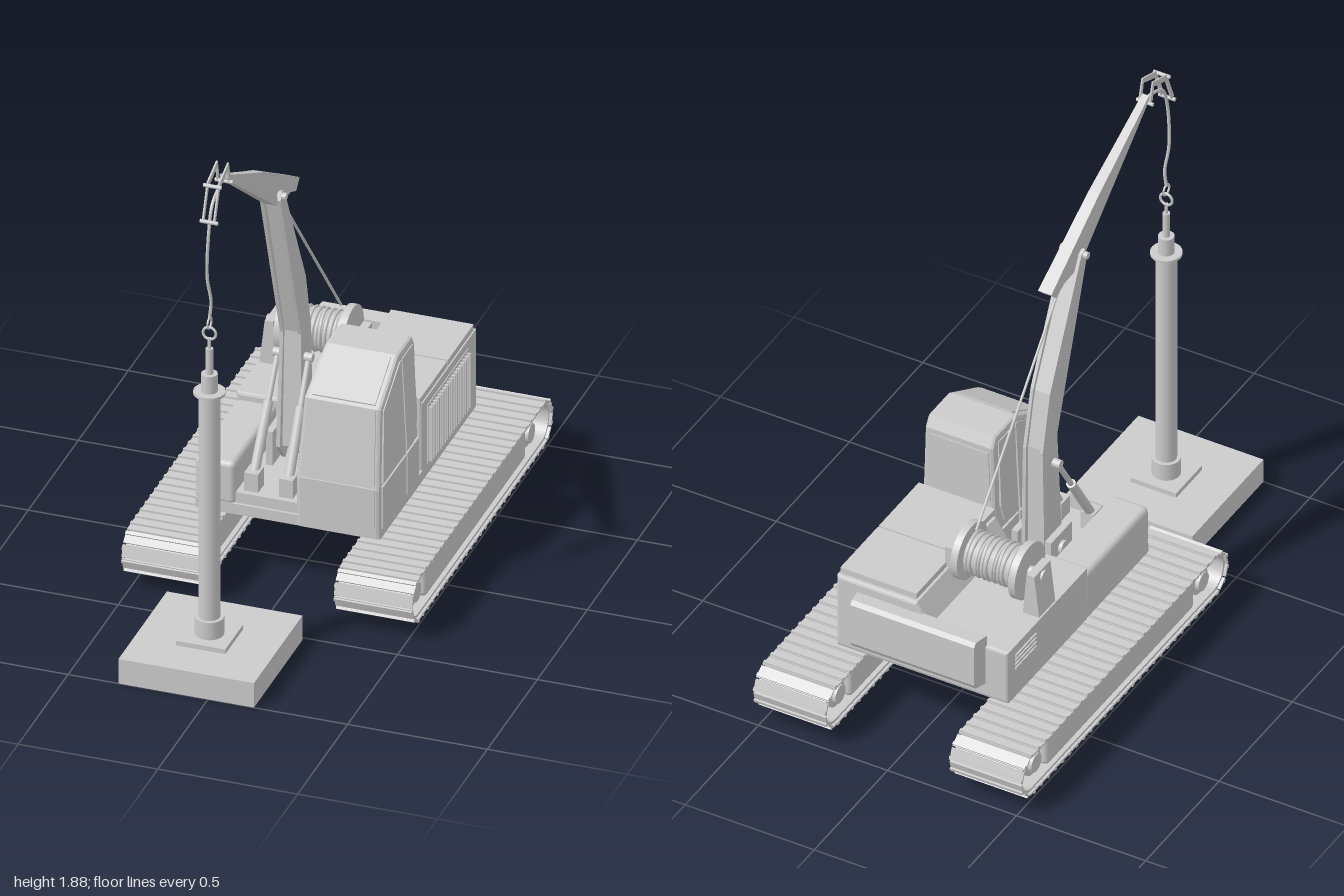
import * as THREE from 'three';
import { mergeGeometries } from 'three/addons/utils/BufferGeometryUtils.js';
import { RoundedBoxGeometry } from 'three/addons/geometries/RoundedBoxGeometry.js';

const grey = new THREE.MeshStandardMaterial({ color: 0xcccccc, side: THREE.DoubleSide });
const V = (x, y, z) => new THREE.Vector3(x, y, z);
const BX = -0.08; // x of the boom and mast line

function add(parent, name, geometry) {
  const m = new THREE.Mesh(geometry, grey);
  m.name = name;
  parent.add(m);
  return m;
}
function group(parent, name) {
  const g = new THREE.Group();
  g.name = name;
  parent.add(g);
  return g;
}
// box given by its limits
function box(x0, x1, y0, y1, z0, z1) {
  return new THREE.BoxGeometry(x1 - x0, y1 - y0, z1 - z0)
    .translate((x0 + x1) / 2, (y0 + y1) / 2, (z0 + z1) / 2);
}
function rounded(x0, x1, y0, y1, z0, z1, r) {
  return new RoundedBoxGeometry(x1 - x0, y1 - y0, z1 - z0, 2, r)
    .translate((x0 + x1) / 2, (y0 + y1) / 2, (z0 + z1) / 2);
}
function extrude(shape, depth, bevel = 0) {
  if (bevel === 0) return new THREE.ExtrudeGeometry(shape, { depth, bevelEnabled: false, curveSegments: 12 });
  return new THREE.ExtrudeGeometry(shape, {
    depth: depth - 2 * bevel, bevelThickness: bevel, bevelSize: bevel, bevelOffset: -bevel, bevelSegments: 2,
  }).translate(0, 0, bevel);
}
const toShape = (pts) => new THREE.Shape(pts.map((p) => new THREE.Vector2(p[0], p[1])));
// profile in (z, y), extruded from x0 to x1
function side(profile, x0, x1, bevel = 0) {
  const s = Array.isArray(profile) ? toShape(profile) : profile;
  return extrude(s, x1 - x0, bevel).rotateY(-Math.PI / 2).translate(x1, 0, 0);
}
// scale x about cx by a rule of the point
function taper(geo, cx, rule) {
  const p = geo.attributes.position;
  for (let i = 0; i < p.count; i++) p.setX(i, cx + (p.getX(i) - cx) * rule(p.getY(i), p.getZ(i)));
  geo.computeVertexNormals();
  return geo;
}
function rod(a, b, r, r2 = r, sides = 16) {
  const d = b.clone().sub(a);
  const q = new THREE.Quaternion().setFromUnitVectors(V(0, 1, 0), d.clone().normalize());
  const mid = a.clone().add(b).multiplyScalar(0.5);
  return new THREE.CylinderGeometry(r2, r, d.length(), sides).applyQuaternion(q).translate(mid.x, mid.y, mid.z);
}
const axle = (x0, x1, y, z, r, sides = 24) => rod(V(x0, y, z), V(x1, y, z), r, r, sides);

// stadium outline in (z, y)
function stadium(Curve, za, zb, y, r) {
  const s = new Curve();
  s.moveTo(zb, y - r);
  s.lineTo(za, y - r);
  s.absarc(za, y, r, -Math.PI / 2, Math.PI / 2, false);
  s.lineTo(zb, y + r);
  s.absarc(zb, y, r, Math.PI / 2, Math.PI * 1.5, false);
  return s;
}

function buildTrack(parent, sgn) {
  const g = group(parent, sgn > 0 ? 'leftTrack' : 'rightTrack');
  const za = 0.325, zb = -0.915, yc = 0.132, r = 0.078, cx = 0.38 * sgn, w = 0.14;
  const belt = stadium(THREE.Shape, za, zb, yc, r);
  belt.holes.push(stadium(THREE.Path, za, zb, yc, r - 0.012));
  add(g, 'belt', side(belt, cx - w + 0.01, cx + w - 0.01));
  // shoes with a grouser bar, laid around the loop
  const L = za - zb, P = 2 * L + 2 * Math.PI * r, n = 62, shoes = [];
  for (let i = 0; i < n; i++) {
    let s = (i / n) * P, z, y, a;
    if (s < L) { z = zb + s; y = yc + r; a = 0; }
    else if (s < L + Math.PI * r) { a = (s - L) / r; z = za + r * Math.sin(a); y = yc + r * Math.cos(a); }
    else if (s < 2 * L + Math.PI * r) { z = za - (s - L - Math.PI * r); y = yc - r; a = Math.PI; }
    else { a = Math.PI + (s - 2 * L - Math.PI * r) / r; z = zb + r * Math.sin(a); y = yc + r * Math.cos(a); }
    for (const b of [box(-w, w, -0.003, 0.004, -0.022, 0.022), box(-w, w, 0, 0.011, -0.019, -0.007)]) {
      shoes.push(b.rotateX(a).translate(cx, y, z));
    }
  }
  add(g, 'shoes', mergeGeometries(shoes));
  add(g, 'sideFrame', rounded(cx - w + 0.02, cx + w - 0.02, 0.065, 0.197, -0.79, 0.215, 0.018));
  add(g, 'frameBeam', box(cx - 0.04, cx + 0.04, 0.1, 0.165, -0.9, 0.32));
  for (const z of [0.285, -0.855]) {
    add(g, 'wheel', axle(cx - 0.1, cx + 0.1, yc - 0.007, z, 0.052, 28));
    add(g, 'wheelHub', axle(cx - 0.115, cx + 0.115, yc - 0.007, z, 0.035));
  }
}

function buildHouse(parent) {
  const g = group(parent, 'upperHouse');
  add(g, 'deckPlate', box(-0.33, 0.33, 0.25, 0.29, -0.76, 0.2));
  const section = [[-0.335, 0.255], [0.33, 0.255], [0.33, 0.55], [0.02, 0.55], [-0.03, 0.47], [-0.335, 0.47]];
  add(g, 'engineHouse', extrude(toShape(section), 0.55, 0.01).translate(0, 0, -0.77));
  for (const z of [[-0.75, -0.493], [-0.487, -0.215]]) add(g, 'hatch', box(0.03, 0.325, 0.54, 0.573, z[0], z[1]));
  add(g, 'sideDeck', rounded(-0.335, -0.19, 0.28, 0.445, -0.23, 0.2, 0.02));
  add(g, 'channelFloor', box(-0.19, 0.04, 0.28, 0.33, -0.23, 0.19));
  // counterweight, a little tapered towards the back
  const cw = side([[-0.76, 0.31], [-0.76, 0.51], [-0.82, 0.515], [-0.832, 0.5], [-0.832, 0.34], [-0.82, 0.32]], -0.25, 0.25);
  add(g, 'counterweight', taper(cw, 0, (y, z) => (z < -0.8 ? 0.96 : 1)));
  // slatted grille
  const slats = [box(0.325, 0.333, 0.29, 0.52, -0.68, -0.27)];
  for (let i = 0; i < 18; i++) slats.push(box(0.33, 0.347, 0.3, 0.51, -0.667 + i * 0.0225, -0.658 + i * 0.0225));
  for (const y of [0.325, 0.48]) slats.push(box(0.33, 0.342, y, y + 0.008, -0.67, -0.28));
  add(g, 'grille', mergeGeometries(slats));
  for (let i = 0; i < 4; i++) add(g, 'vent', box(-0.341, -0.33, 0.37 + i * 0.018, 0.38 + i * 0.018, -0.72, -0.58));
}

function buildCab(parent) {
  const g = group(parent, 'cab');
  const narrow = (geo) => taper(geo, 0.183, (y) => 1 - 0.12 * Math.max(0, (y - 0.46) / 0.38));
  const outline = [[0.21, 0.255], [0.21, 0.44], [0.163, 0.73], [-0.03, 0.84], [-0.17, 0.84], [-0.19, 0.8], [-0.19, 0.255]];
  add(g, 'shell', narrow(side(outline, 0.033, 0.333, 0.013)));
  // side panes and door panels
  const panes = [
    [[0.185, 0.46], [0.145, 0.72], [-0.03, 0.815], [-0.043, 0.815], [-0.043, 0.46]],
    [[-0.053, 0.46], [-0.053, 0.815], [-0.16, 0.815], [-0.165, 0.55], [-0.145, 0.48], [-0.11, 0.46]],
    [[0.19, 0.29], [0.19, 0.45], [-0.043, 0.45], [-0.043, 0.29]],
    [[-0.053, 0.29], [-0.053, 0.45], [-0.17, 0.45], [-0.17, 0.29]],
  ];
  for (const p of panes) for (const x of [0.029, 0.329]) add(g, 'sidePanel', narrow(side(p, x, x + 0.008)));
  // panes on the front, roof slope and back
  const strip = (a, b) => [a, b, [b[0] + 0.005, b[1] + 0.002], [a[0] + 0.005, a[1] + 0.002]];
  add(g, 'frontLowerPanel', box(0.05, 0.316, 0.295, 0.448, 0.2, 0.215));
  add(g, 'windscreen', narrow(side(strip([0.207, 0.46], [0.164, 0.725]), 0.053, 0.313)));
  add(g, 'roofPane', narrow(side([[0.15, 0.735], [-0.02, 0.832], [-0.018, 0.839], [0.152, 0.742]], 0.06, 0.306)));
  add(g, 'rearPane', narrow(box(0.055, 0.31, 0.58, 0.78, -0.194, -0.18)));
}

function buildWinch(parent) {
  const g = group(parent, 'winch');
  const y = 0.608, z = -0.49;
  add(g, 'axle', axle(-0.32, 0.04, y, z, 0.02));
  add(g, 'drum', axle(-0.24, -0.04, y, z, 0.065));
  for (const x of [-0.262, -0.038]) add(g, 'flange', axle(x, x + 0.026, y, z, 0.105, 32));
  const coils = [];
  for (let i = 0; i < 18; i++) {
    coils.push(new THREE.TorusGeometry(0.068 + 0.005 * (i % 2), 0.007, 6, 24)
      .rotateY(Math.PI / 2 + 0.05 * ((i % 3) - 1)).translate(-0.228 + i * 0.0105, y, z));
  }
  add(g, 'ropeCoils', mergeGeometries(coils));
  const bracket = [[-0.33, 0.46], [-0.265, 0.46], [-0.28, 0.635], [-0.31, 0.635]];
  add(g, 'outerBracket', extrude(toShape(bracket), 0.11).translate(0, 0, z - 0.055));
  add(g, 'innerBracket', box(0.005, 0.035, 0.46, 0.635, z - 0.055, z + 0.055));
}

function buildBoom(parent) {
  const g = group(parent, 'boom');
  const lower = [[0.155, 1.47], [0.14, 1.5], [0.115, 1.49], [-0.1, 1.04], [-0.15, 0.82], [-0.15, 0.4], [-0.09, 0.33], [-0.03, 0.4], [-0.05, 0.84]];
  const core = [[0.12, 1.44], [0.11, 1.44], [-0.09, 1.03], [-0.135, 0.82], [-0.135, 0.4], [-0.045, 0.4], [-0.065, 0.84]];
  for (const s of [-1, 1]) {
    const x = BX + s * 0.032;
    add(g, 'boomPlate', taper(side(lower, x - 0.006, x + 0.006), BX, (y) => (y < 0.84 ? 1 + 0.4 * (0.84 - y) : 1)));
    // lifting ram with its lug
    const a = V(BX + s * 0.062, 0.38, 0.14), b = V(BX + s * 0.055, 0.74, -0.08), m = a.clone().lerp(b, 0.6);
    add(g, 'ramBarrel', rod(a, m, 0.017));
    add(g, 'ramRod', rod(m, b, 0.01));
    add(g, 'ramLug', box(a.x - 0.025, a.x + 0.025, 0.32, 0.4, 0.11, 0.17));
    add(g, 'footLug', box(BX + s * 0.065 - 0.012, BX + s * 0.065 + 0.012, 0.32, 0.46, -0.16, -0.02));
  }
  add(g, 'boomCore', side(core, BX - 0.027, BX + 0.027));
  add(g, 'footPin', axle(BX - 0.09, BX + 0.09, 0.4, -0.09, 0.025));
  add(g, 'ramPin', axle(BX - 0.07, BX + 0.07, 0.74, -0.08, 0.016));
  add(g, 'elbowPin', axle(BX - 0.053, BX + 0.053, 1.48, 0.135, 0.013));
  // jib, narrower towards its tip
  const jib = [[0.62, 1.8], [0.62, 1.82], [0.385, 1.7], [0.265, 1.64], [-0.07, 1.44], [-0.035, 1.405], [0.02, 1.43], [0.1, 1.43], [0.155, 1.45]];
  add(g, 'jib', taper(side(jib, BX - 0.026, BX + 0.026), BX, (y, z) => 1 - 0.5 * Math.max(0, z / 0.62)));
  // guide head: a bent strip on each side with cross pins
  const head = [[0.615, 1.8], [0.64, 1.872], [0.625, 1.877], [0.73, 1.84], [0.765, 1.72]];
  const strip = [[0.61, 1.8], [0.63, 1.875], [0.725, 1.842], [0.773, 1.722], [0.758, 1.716], [0.718, 1.82], [0.637, 1.852], [0.627, 1.8]];
  for (const s of [-1, 1]) add(g, 'headPlate', side(strip, BX + s * 0.02 - 0.003, BX + s * 0.02 + 0.003));
  for (const i of [0, 3, 4]) add(g, 'headPin', axle(BX - 0.032, BX + 0.032, head[i][1] - 0.008, head[i][0], 0.007, 12));
}

function buildMast(parent) {
  const g = group(parent, 'mast');
  const z = 0.76, up = (y0, y1, r) => rod(V(BX, y0, z), V(BX, y1, z), r, r, 32);
  // base tray, open underneath
  const x0 = -0.32, x1 = 0.165, z0 = 0.515, z1 = 1, t = 0.012, h = 0.095;
  add(g, 'basePlate', box(x0, x1, h - t, h, z0, z1));
  for (const w of [[x0, x0 + t, z0, z1], [x1 - t, x1, z0, z1], [x0, x1, z0, z0 + t], [x0, x1, z1 - t, z1]]) {
    add(g, 'baseWall', box(w[0], w[1], 0, h, w[2], w[3]));
  }
  add(g, 'footPlate', box(BX - 0.088, BX + 0.088, 0.09, 0.113, z - 0.088, z + 0.088));
  add(g, 'footCollar', up(0.11, 0.18, 0.05));
  add(g, 'tube', up(0.005, 1.05, 0.037));
  add(g, 'topFlange', up(1.045, 1.055, 0.055));
  add(g, 'upperTube', up(1.05, 1.123, 0.028));
  add(g, 'neck', up(1.12, 1.22, 0.013));
  add(g, 'eyeRod', up(1.21, 1.26, 0.006));
  add(g, 'eyeRing', new THREE.TorusGeometry(0.023, 0.005, 8, 24).translate(BX, 1.278, z));
  add(g, 'hook', new THREE.TorusGeometry(0.02, 0.004, 8, 20).rotateY(Math.PI / 2).translate(BX, 1.318, z));
}

function buildRope(parent) {
  const straight = add(parent, 'hoistRope', rod(V(-0.06, 0.71, -0.5), V(BX, 1.42, 0.055), 0.005, 0.005, 8));
  straight.material = grey;
  add(parent, 'jibRope', rod(V(BX, 1.42, 0.055), V(BX, 1.805, 0.62), 0.005, 0.005, 8));
  const hang = new THREE.CatmullRomCurve3([
    V(BX, 1.805, 0.62), V(BX, 1.79, 0.68), V(BX, 1.76, 0.735), V(BX, 1.67, 0.768),
    V(BX - 0.004, 1.5, 0.771), V(BX + 0.005, 1.4, 0.758), V(BX, 1.335, 0.76),
  ]);
  add(parent, 'hangingRope', new THREE.TubeGeometry(hang, 48, 0.006, 8));
}

export function createModel() {
  const model = new THREE.Group();
  model.name = 'crawlerPilingRig';
  const under = group(model, 'undercarriage');
  for (const s of [-1, 1]) buildTrack(under, s);
  // carbody between the tracks and slewing ring
  const half = [[0.27, 0.105], [0.27, 0.155], [0.2, 0.155], [0.11, 0.175]];
  const body = [[-0.1, 0.1], [0.1, 0.1], ...half, ...half.slice().reverse().map((p) => [-p[0], p[1]])];
  add(under, 'carbody', extrude(toShape(body), 0.4).translate(0, 0, -0.49));
  add(under, 'slewRing', rod(V(0, 0.17, -0.29), V(0, 0.225, -0.29), 0.09, 0.09, 32));
  add(under, 'slewCollar', rod(V(0, 0.215, -0.29), V(0, 0.255, -0.29), 0.1, 0.1, 32));
  for (const build of [buildHouse, buildCab, buildWinch, buildBoom, buildMast, buildRope]) build(model);
  return model;
}
